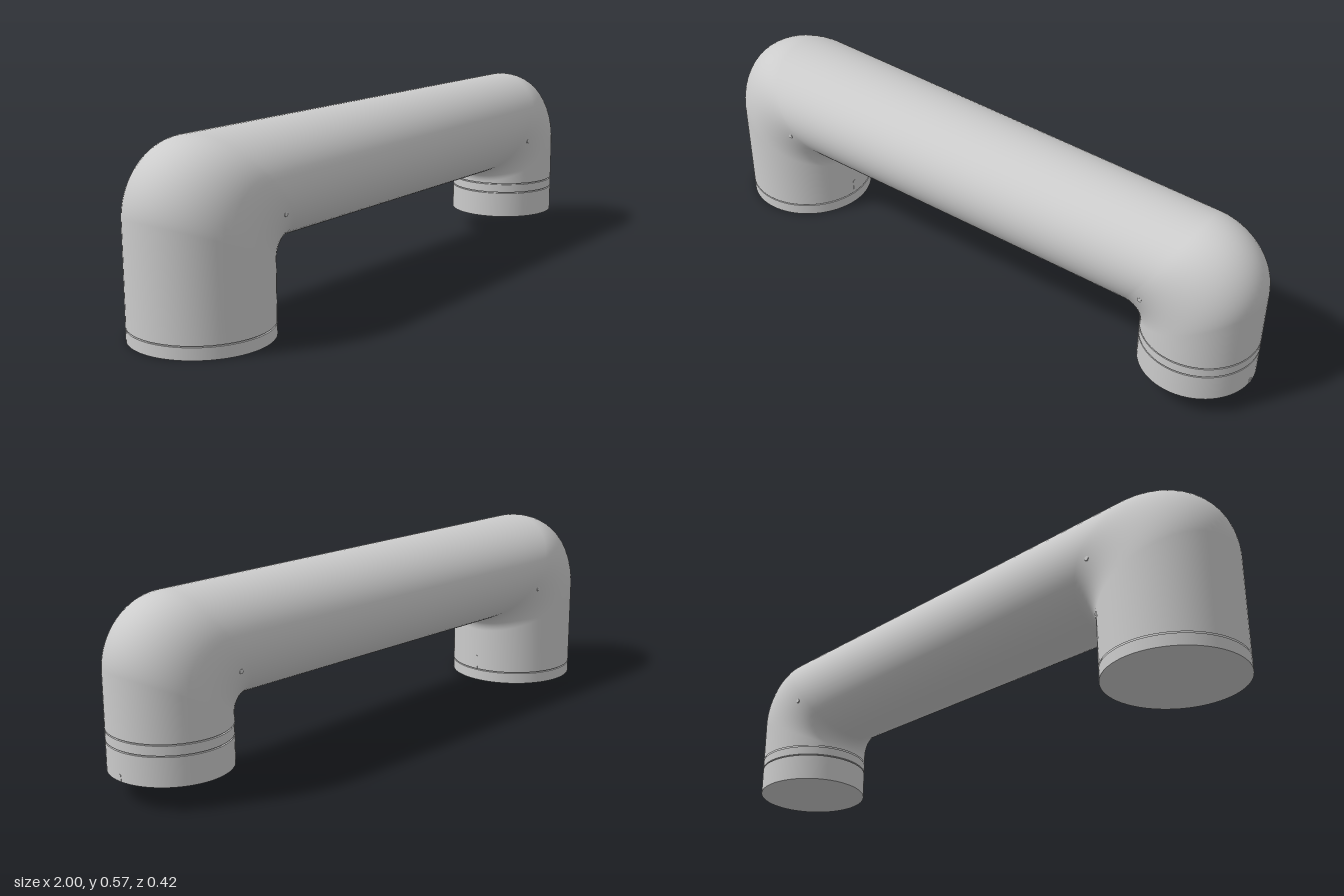
import * as THREE from 'three';

const SEG = 64;
const TOP = 0.57, UNDER = 0.235; // upper and lower edges of the bar
const grey = () => new THREE.MeshStandardMaterial({ color: 0xcccccc, side: THREE.DoubleSide });

const LEGS = [
  { name: 'largeLeg', side: -1, x: -0.79, r: 0.21, bend: 0.21, fillet: 0.05, start: 0.04,
    bands: [[0, 0.036]], hole: -0.66, notch: [0.04, 0.09] },
  { name: 'smallLeg', side: 1, x: 0.82, r: 0.18, bend: 0.2, fillet: 0.04, start: 0.192,
    bands: [[0.07, 0.156], [0.16, 0.188]], hole: 0.705, notch: [0.071, 0.092] },
];

// Sections of one elbow from the foot upwards: outer point, inner point, half width
function elbowSections(leg) {
  const { side, x, r, bend, fillet, start } = leg;
  const outX = x + side * r, inX = x - side * r;
  const list = [{ o: [outX, start], i: [inX, start], w: r }];
  const n = 20;
  for (let k = 0; k <= n; k++) {
    const a = (k / n) * Math.PI / 2, c = 1 - Math.cos(a), s = Math.sin(a);
    list.push({
      o: [outX - side * bend * c, TOP - bend + bend * s],
      i: [inX - side * fillet * c, UNDER - fillet + fillet * s],
      w: r,
    });
  }
  return list;
}

// Smooth skin through elliptical sections
function skin(sections) {
  const pos = [], index = [];
  sections.forEach(({ o, i, w }) => {
    for (let j = 0; j < SEG; j++) {
      const a = (j / SEG) * Math.PI * 2, c = Math.cos(a) / 2;
      pos.push((o[0] + i[0]) / 2 + (o[0] - i[0]) * c, (o[1] + i[1]) / 2 + (o[1] - i[1]) * c, w * Math.sin(a));
    }
  });
  for (let k = 0; k < sections.length - 1; k++) {
    for (let j = 0; j < SEG; j++) {
      const a = k * SEG + j, b = k * SEG + (j + 1) % SEG;
      index.push(a, b, a + SEG, b, b + SEG, a + SEG);
    }
  }
  const geo = new THREE.BufferGeometry();
  geo.setAttribute('position', new THREE.Float32BufferAttribute(pos, 3));
  geo.setIndex(index);
  geo.computeVertexNormals();
  return geo;
}

function addMesh(parent, name, geo, x = 0, y = 0, z = 0) {
  const mesh = new THREE.Mesh(geo, grey());
  mesh.name = name;
  mesh.position.set(x, y, z);
  parent.add(mesh);
  return mesh;
}

export function createModel() {
  const group = new THREE.Group();
  group.name = 'handle';

  // Tapering bar with an elbow at each end
  const left = elbowSections(LEGS[0]), right = elbowSections(LEGS[1]).reverse();
  const a = left[left.length - 1], b = right[0], between = [];
  const mix = THREE.MathUtils.lerp;
  for (let k = 1; k < 12; k++) {
    const t = k / 12;
    between.push({
      o: [mix(a.o[0], b.o[0], t), TOP],
      i: [mix(a.i[0], b.i[0], t), UNDER],
      w: mix(a.w, b.w, t),
    });
  }
  const body = addMesh(group, 'bar', skin([...left, ...between, ...right]));
  body.updateMatrixWorld();

  for (const leg of LEGS) {
    const part = new THREE.Group();
    part.name = leg.name;
    group.add(part);

    // Foot bands, separated by fine grooves around an inner core
    for (const [y0, y1] of leg.bands) {
      addMesh(part, 'footBand', new THREE.CylinderGeometry(leg.r, leg.r, y1 - y0, SEG), leg.x, (y0 + y1) / 2, 0);
    }
    const y0 = leg.bands[0][0] + 0.01, y1 = leg.start + 0.01, core = leg.r - 0.006;
    addMesh(part, 'core', new THREE.CylinderGeometry(core, core, y1 - y0, SEG), leg.x, (y0 + y1) / 2, 0);

    // Alignment notch with a rounded top, on the +x side
    const [n0, n1] = leg.notch, h = 0.006;
    const shape = new THREE.Shape();
    shape.moveTo(-h, n0);
    shape.lineTo(h, n0);
    shape.lineTo(h, n1 - h);
    shape.absarc(0, n1 - h, h, 0, Math.PI, false);
    const notchGeo = new THREE.ExtrudeGeometry(shape, { depth: 0.005, bevelEnabled: false, curveSegments: 8 });
    addMesh(part, 'notch', notchGeo, leg.x + leg.r - 0.004, 0, 0).rotation.y = Math.PI / 2;

    // Pin set into the front and back of the elbow
    for (const s of [1, -1]) {
      const ray = new THREE.Raycaster(new THREE.Vector3(leg.hole, 0.35, s), new THREE.Vector3(0, 0, -s));
      const hit = ray.intersectObject(body)[0];
      if (!hit) continue;
      const pin = addMesh(part, 'pin', new THREE.CylinderGeometry(0.007, 0.007, 0.01, 16), leg.hole, 0.35, hit.point.z - s * 0.003);
      pin.rotation.x = Math.PI / 2;
    }
  }
  return group;
}
